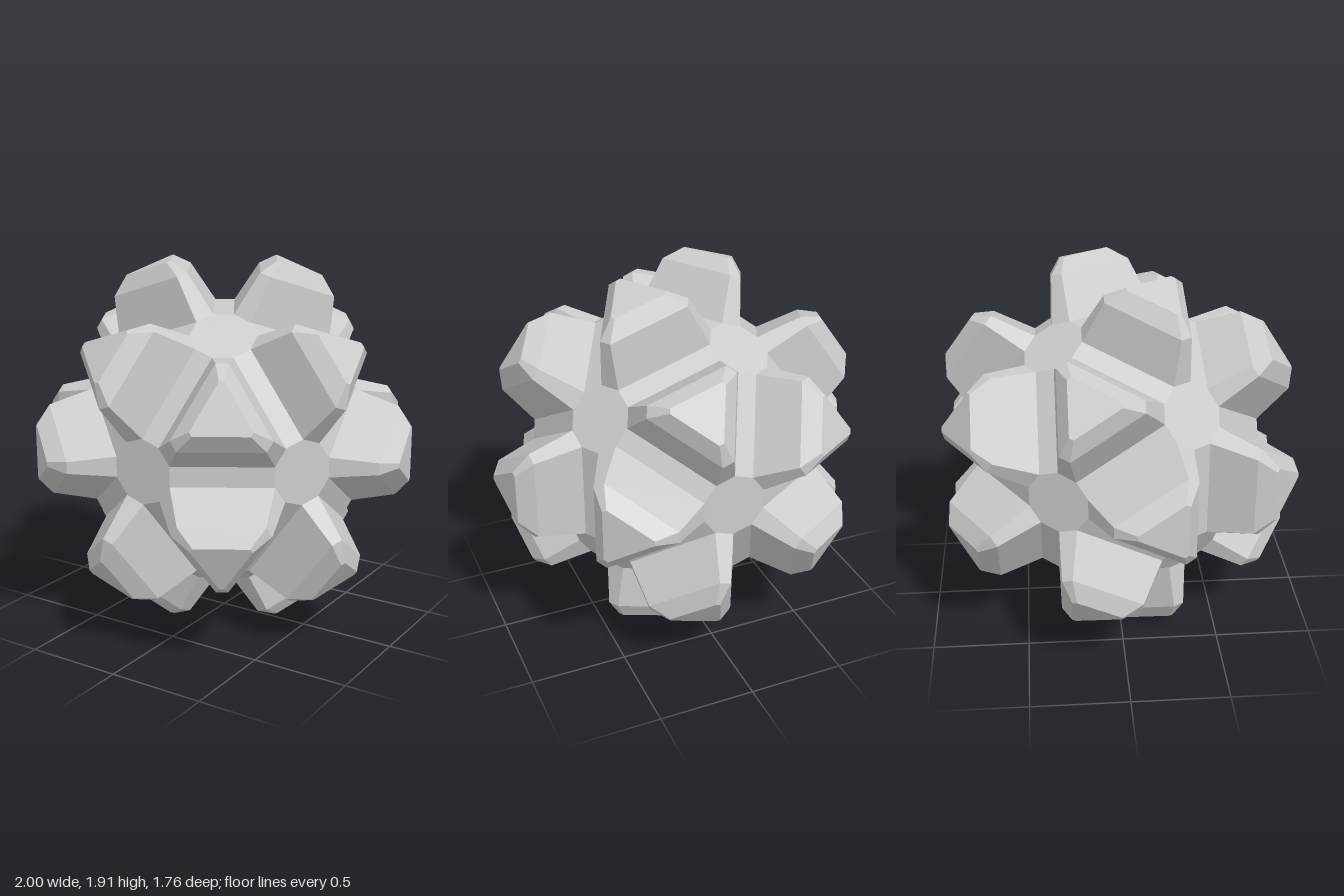
import * as THREE from 'three';

const R = 0.73;          // distance of the round pits from the centre
const PIT = 0.165;       // pit circumradius (ten sides)
const APO = PIT * Math.cos(Math.PI / 10);
const HALF = PIT * Math.sin(Math.PI / 10); // half a pit side = half a groove width

// Twelve icosahedron directions, one of them facing the front
function pitDirections() {
  const z = 1 / Math.sqrt(5), r = 2 / Math.sqrt(5);
  const dirs = [new THREE.Vector3(0, 0, 1), new THREE.Vector3(0, 0, -1)];
  for (let k = 0; k < 5; k++) {
    const a = k * Math.PI * 0.4, b = a + Math.PI / 5;
    dirs.push(new THREE.Vector3(r * Math.cos(a), r * Math.sin(a), z));
    dirs.push(new THREE.Vector3(r * Math.cos(b), r * Math.sin(b), -z));
  }
  return dirs;
}

// Frame whose z points along normal and whose x leans toward target
function frame(normal, target, distance) {
  const x = target.clone().addScaledVector(normal, -target.dot(normal)).normalize();
  const y = normal.clone().cross(x);
  return new THREE.Matrix4().makeBasis(x, y, normal).setPosition(normal.clone().multiplyScalar(distance));
}

// Knob with a blunted triangular section: rings of [corner reach, half corner width, height]
function knobGeometry(rings) {
  const loops = rings.map(([c, w, h]) => {
    const loop = [];
    for (let k = 0; k < 3; k++) {
      for (const s of [-w, w]) {
        loop.push(new THREE.Vector3(c, s, h).applyAxisAngle(new THREE.Vector3(0, 0, 1), k * Math.PI * 2 / 3));
      }
    }
    return loop;
  });
  const pts = [];
  for (let i = 0; i + 1 < loops.length; i++) {
    for (let k = 0; k < 6; k++) {
      const n = (k + 1) % 6, lo = loops[i], hi = loops[i + 1];
      pts.push(lo[k], lo[n], hi[n], lo[k], hi[n], hi[k]);
    }
  }
  const cap = loops[loops.length - 1];
  for (let k = 1; k < 5; k++) pts.push(cap[0], cap[k], cap[k + 1]);
  const geo = new THREE.BufferGeometry().setFromPoints(pts);
  geo.computeVertexNormals();
  return geo;
}

export function createModel() {
  const model = new THREE.Group();
  const body = new THREE.Group();
  body.name = 'knobbedBall';
  model.add(body);
  const mat = new THREE.MeshStandardMaterial({ color: 0xcccccc, flatShading: true });
  const add = (name, geo, matrix) => {
    const mesh = new THREE.Mesh(geo, mat);
    mesh.name = name;
    mesh.applyMatrix4(matrix);
    body.add(mesh);
  };

  const dirs = pitDirections();
  const near = (a, b) => a !== b && a.dot(b) > 0.4;

  // Knob foot: the pit side that faces the middle of a triangle of pits
  const cosF = Math.sqrt((5 + 2 * Math.sqrt(5)) / 15), sinF = Math.sqrt(1 - cosF * cosF);
  const footReach = R * sinF - APO * cosF, footHeight = R * cosF + APO * sinF;
  const knobGeo = knobGeometry([
    [footReach, HALF, footHeight],
    [0.255, 0.03, 0.91],
    [0.16, 0.012, 0.987],
  ]);

  // Groove floor: spans two neighbouring pits
  const cosE = Math.sqrt((5 + Math.sqrt(5)) / 10), sinE = Math.sqrt(1 - cosE * cosE);
  const grooveGeo = new THREE.PlaneGeometry(2 * (R * sinE - APO * cosE), 2 * HALF);
  const grooveHeight = R * cosE + APO * sinE;

  const pitGeo = new THREE.CircleGeometry(PIT, 10, Math.PI / 10);

  dirs.forEach((a, i) => {
    add('pit', pitGeo, frame(a, dirs.find((d) => near(a, d)), R));
    for (let j = i + 1; j < dirs.length; j++) {
      const b = dirs[j];
      if (!near(a, b)) continue;
      add('groove', grooveGeo, frame(a.clone().add(b).normalize(), a, grooveHeight));
      for (let k = j + 1; k < dirs.length; k++) {
        const c = dirs[k];
        if (!near(a, c) || !near(b, c)) continue;
        add('knob', knobGeo, frame(a.clone().add(b).add(c).normalize(), a, 0));
      }
    }
  });

  // Stand on the ground
  body.position.y = -new THREE.Box3().setFromObject(body, true).min.y;
  return model;
}
